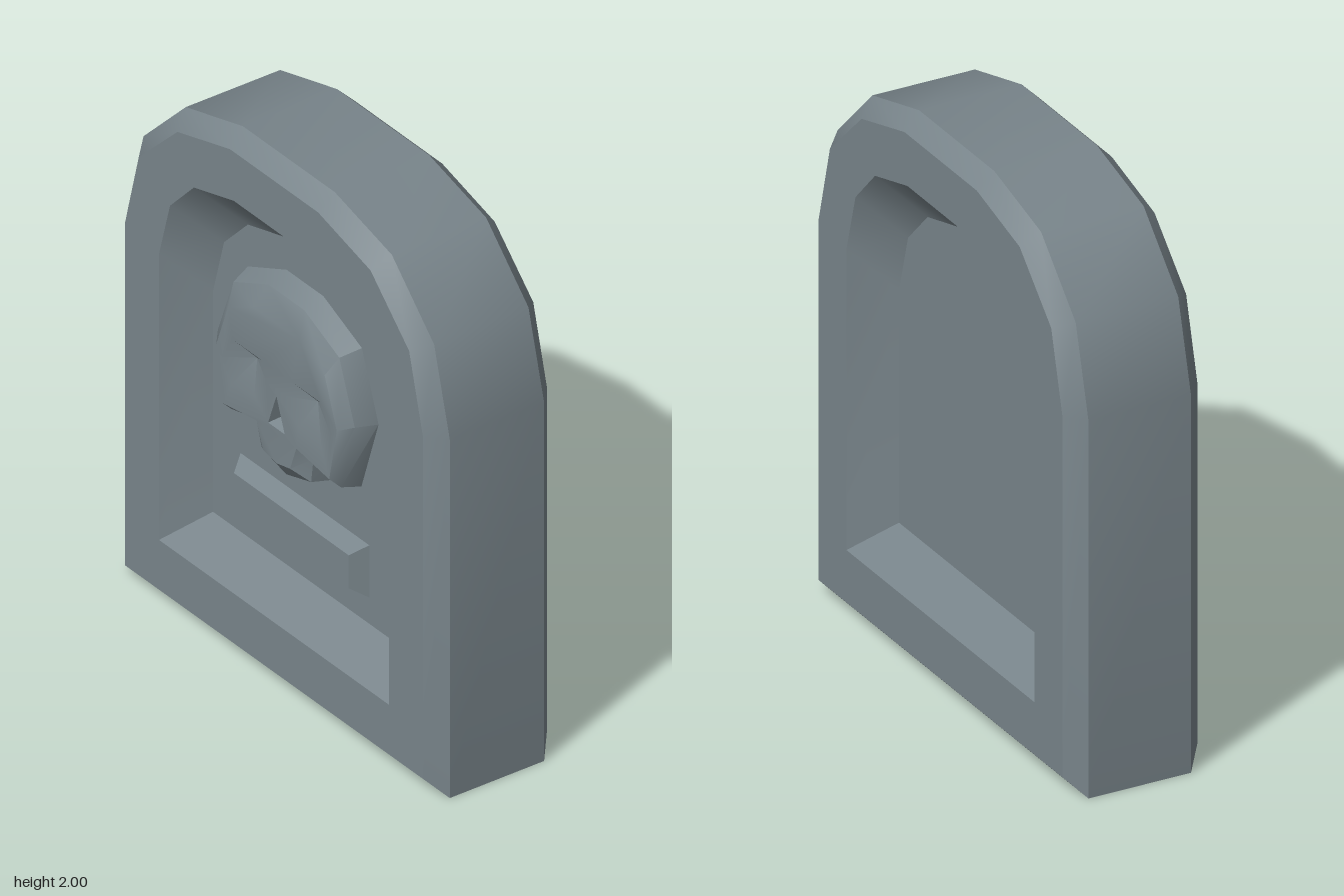
import * as THREE from 'three';
import { toCreasedNormals } from 'three/addons/utils/BufferGeometryUtils.js';

const stone = new THREE.MeshStandardMaterial({ color: 0x78848a });
stone.name = 'greyStone';

// Counter-clockwise loop from right-half points listed bottom to top; tip adds a point on the centre line
const mirror = (half, tip) => [
  ...(tip ? [tip] : []),
  ...half,
  ...half.slice().reverse().map(([x, y]) => [-x, y]),
];
const vec = (loop) => loop.map(([x, y]) => new THREE.Vector2(x, y));

// Flat cap at depth z, facing front or back, with optional holes
function cap(out, loop, z, back = false, holes = []) {
  const contour = vec(loop);
  const inner = holes.map((h) => vec(h).reverse());
  const faces = THREE.ShapeUtils.triangulateShape(contour, inner);
  const points = [contour, ...inner].flat();
  for (const face of faces) {
    for (const i of back ? face.slice().reverse() : face) out.push(points[i].x, points[i].y, z);
  }
}

// Skin between consecutive [loop, z] sections, running from front to back
function loft(out, sections) {
  for (let s = 0; s < sections.length - 1; s++) {
    const [a, za] = sections[s];
    const [b, zb] = sections[s + 1];
    for (let i = 0; i < a.length; i++) {
      const j = (i + 1) % a.length;
      out.push(...a[i], za, ...b[i], zb, ...b[j], zb);
      out.push(...a[i], za, ...b[j], zb, ...a[j], za);
    }
  }
}

// Sunken fan from a rim to one deep point
function pit(out, rim, z, apex) {
  rim.forEach((p, i) => out.push(...p, z, ...rim[(i + 1) % rim.length], z, ...apex));
}

function part(name, positions) {
  const g = new THREE.BufferGeometry();
  g.setAttribute('position', new THREE.Float32BufferAttribute(positions, 3));
  const mesh = new THREE.Mesh(toCreasedNormals(g, 0.6), stone);
  mesh.name = name;
  return mesh;
}

// Arched slab with bevelled edges and a sloped recess on both faces
function createSlab() {
  const outer = mirror([[0.875, 0], [0.875, 1.37], [0.79, 1.69], [0.56, 1.917], [0.25, 2]]);
  const bevel = mirror([[0.81, 0.063], [0.81, 1.37], [0.735, 1.66], [0.525, 1.862], [0.24, 1.94]]);
  const rim = mirror([[0.625, 0.253], [0.625, 1.345], [0.565, 1.56], [0.435, 1.695], [0.22, 1.753]]);
  const floor = mirror([[0.5, 0.377], [0.5, 1.22], [0.44, 1.437], [0.31, 1.57], [0.095, 1.627]]);
  const out = [];
  cap(out, floor, 0.125);
  loft(out, [
    [floor, 0.125], [rim, 0.25], [bevel, 0.25], [outer, 0.19],
    [outer, -0.19], [bevel, -0.25], [rim, -0.25], [floor, -0.125],
  ]);
  cap(out, floor, -0.125, true);
  return part('slab', out);
}

// Skull relief with eye sockets and a nose hole
function createSkull() {
  const base = mirror([[0.148, 0.825], [0.164, 0.915], [0.307, 0.88], [0.4, 1.163], [0.31, 1.41], [0.1, 1.503]], [0, 0.783]);
  const edge = mirror([[0.135, 0.838], [0.147, 0.932], [0.298, 0.9], [0.372, 1.165], [0.288, 1.39], [0.097, 1.476]], [0, 0.8]);
  const face = mirror([[0.074, 0.873], [0.108, 0.967], [0.287, 0.94], [0.328, 1.145], [0.262, 1.325], [0.127, 1.39]], [0, 0.857]);
  const eye = [[0.12, 1.055], [0.245, 1.035], [0.295, 1.115], [0.24, 1.21], [0.08, 1.21], [0.055, 1.14]];
  const otherEye = eye.map(([x, y]) => [-x, y]).reverse();
  const nose = [[-0.045, 0.99], [0.045, 0.99], [0, 1.113]];
  const z = 0.24;
  const out = [];
  cap(out, face, z, false, [eye, otherEye, nose]);
  loft(out, [[face, z], [edge, 0.2], [base, 0.125]]);
  pit(out, eye, z, [0.165, 1.16, 0.195]);
  pit(out, otherEye, z, [-0.165, 1.16, 0.195]);
  pit(out, nose, z, [0, 1.03, 0.18]);
  return part('skull', out);
}

// Blank bevelled plaque below the skull
function createPlaque() {
  const base = mirror([[0.35, 0.477], [0.35, 0.677]]);
  const face = mirror([[0.312, 0.514], [0.312, 0.64]]);
  const out = [];
  cap(out, face, 0.18);
  loft(out, [[face, 0.18], [base, 0.125]]);
  return part('plaque', out);
}

export function createModel() {
  const group = new THREE.Group();
  group.name = 'gravestone';
  group.add(createSlab(), createSkull(), createPlaque());
  return group;
}
